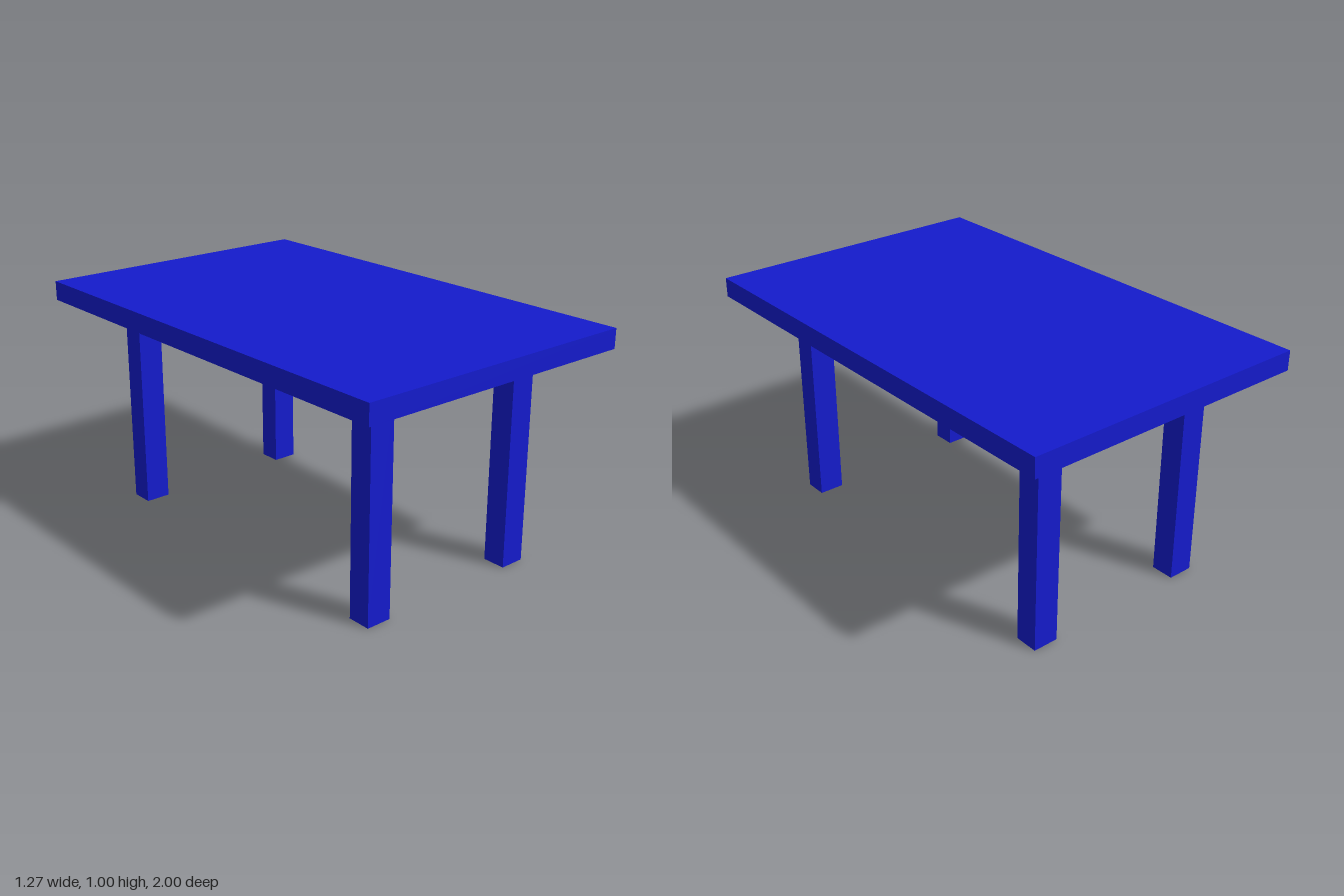
import * as THREE from 'three';

export function createModel() {
  const table = new THREE.Group();
  table.name = 'table';
  const blue = new THREE.MeshStandardMaterial({ color: 0x141bcc });

  // Adds a named box, placed by its centre
  const addBox = (name, [w, h, d], [x, y, z]) => {
    const mesh = new THREE.Mesh(new THREE.BoxGeometry(w, h, d), blue);
    mesh.name = name;
    mesh.position.set(x, y, z);
    table.add(mesh);
  };

  // Table top
  const topHeight = 0.083;
  addBox('tableTop', [1.27, topHeight, 2], [0, 1 - topHeight / 2, 0]);

  // Four square legs, set in from the edges
  const legHeight = 1 - topHeight;
  for (const [side, x] of [['Left', 0.377], ['Right', -0.364]]) {
    for (const [end, z] of [['front', 0.729], ['back', -0.743]]) {
      addBox(`${end}${side}Leg`, [0.11, legHeight, 0.1], [x, legHeight / 2, z]);
    }
  }

  return table;
}
